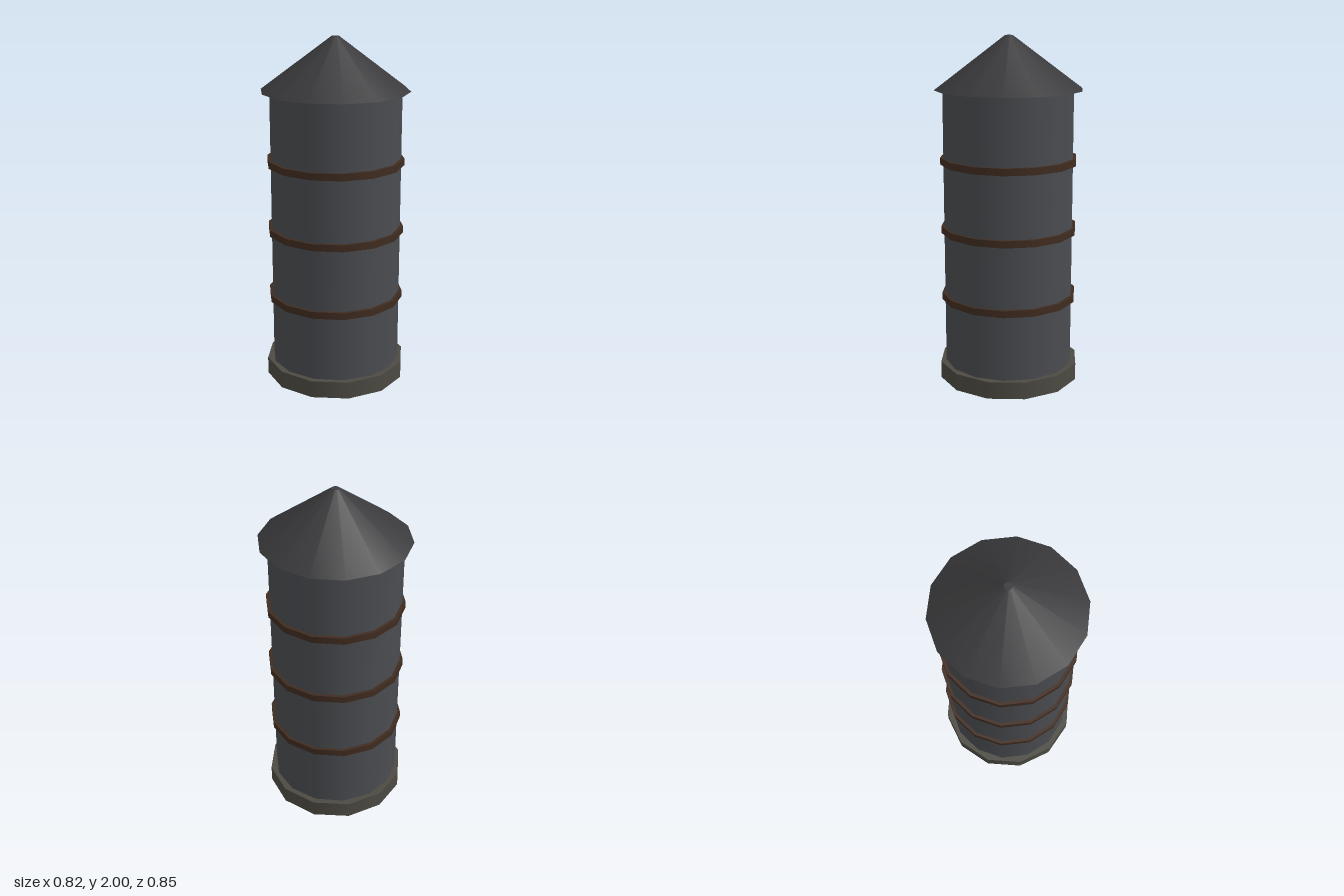
import * as THREE from 'three';

export function createModel() {
  const tower = new THREE.Group();
  tower.name = 'tower';

  const paint = (color) => new THREE.MeshStandardMaterial({ color });
  const stone = paint(0x4c4a42);
  const wall = paint(0x4a4c50);
  const iron = paint(0x402c20);
  const slate = paint(0x3a3a3c);

  // Upright round part standing on height y
  function addRound(name, rTop, rBottom, y, height, sides, material) {
    const geometry = new THREE.CylinderGeometry(rTop, rBottom, height, sides);
    const mesh = new THREE.Mesh(geometry, material);
    mesh.name = name;
    mesh.position.y = y + height / 2;
    tower.add(mesh);
  }

  // Plinth and tank body
  addRound('base', 0.41, 0.41, 0, 0.1, 12, stone);
  addRound('body', 0.375, 0.375, 0.1, 1.6, 14, wall);

  // Three hoops around the body
  [0.5, 0.9, 1.3].forEach((y, i) => {
    addRound(`band${i + 1}`, 0.393, 0.393, y - 0.02, 0.04, 14, iron);
  });

  // Conical roof with a tiny flat tip
  addRound('roof', 0.022, 0.423, 1.7, 0.3, 14, slate);

  return tower;
}
